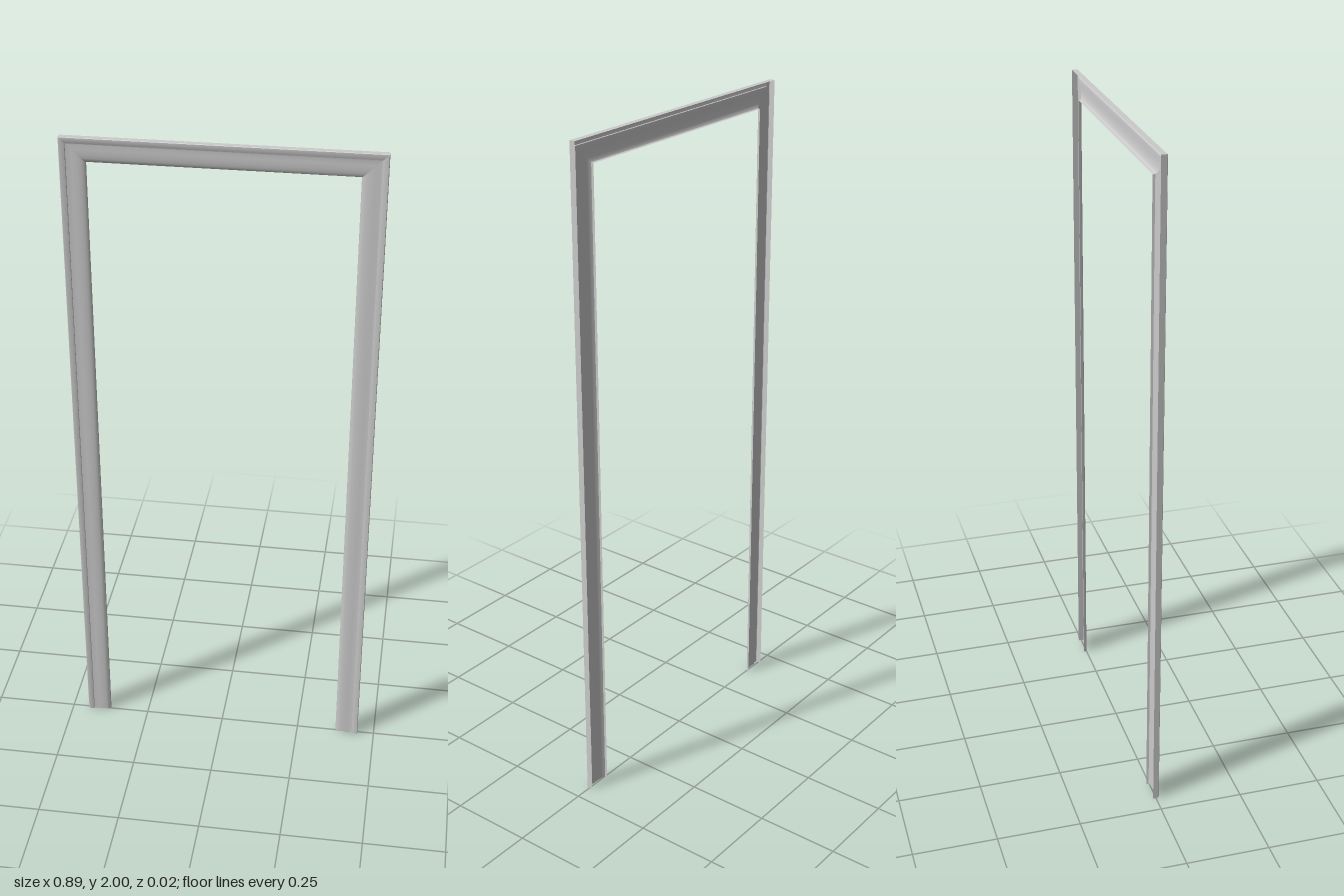
import * as THREE from 'three';
import { toCreasedNormals } from 'three/addons/utils/BufferGeometryUtils.js';

const HALF_WIDTH = 0.447;
const HEIGHT = 2;

// Moulding section: [inset from the outer edge, z], an open-backed channel
const profile = [
  [0, -0.009], [0, 0.008], [0.001, 0.009],   // outer lip
  [0.015, 0.009], [0.017, 0.008],            // raised outer band
  [0.018, 0.005], [0.021, 0.0045],           // step down
  [0.035, 0.005], [0.05, 0.0045], [0.06, 0.003], // gently curved face
  [0.067, 0.001], [0.071, -0.002], [0.072, -0.005], [0.072, -0.009], // rounded inner lip
];

// Corners of the frame path for a given inset; the insets form the mitres
const corners = (u) => [
  [-HALF_WIDTH + u, 0],
  [-HALF_WIDTH + u, HEIGHT - u],
  [HALF_WIDTH - u, HEIGHT - u],
  [HALF_WIDTH - u, 0],
];

// One mitred length of moulding between path corners k and k + 1
function mouldingGeometry(k) {
  const positions = [];
  const index = [];
  profile.forEach(([u, z], i) => {
    const path = corners(u);
    positions.push(...path[k], z, ...path[k + 1], z);
    if (i > 0) {
      const a = 2 * (i - 1);
      index.push(a, a + 2, a + 3, a, a + 3, a + 1);
    }
  });
  const geometry = new THREE.BufferGeometry();
  geometry.setAttribute('position', new THREE.Float32BufferAttribute(positions, 3));
  geometry.setIndex(index);
  return toCreasedNormals(geometry, 0.6);
}

export function createModel() {
  const group = new THREE.Group();
  group.name = 'doorCasing';
  const material = new THREE.MeshStandardMaterial({ color: 0xcccccc, side: THREE.DoubleSide });

  // Two upright casings joined by the head casing
  ['rightJamb', 'head', 'leftJamb'].forEach((name, k) => {
    const mesh = new THREE.Mesh(mouldingGeometry(k), material);
    mesh.name = name;
    group.add(mesh);
  });
  return group;
}
